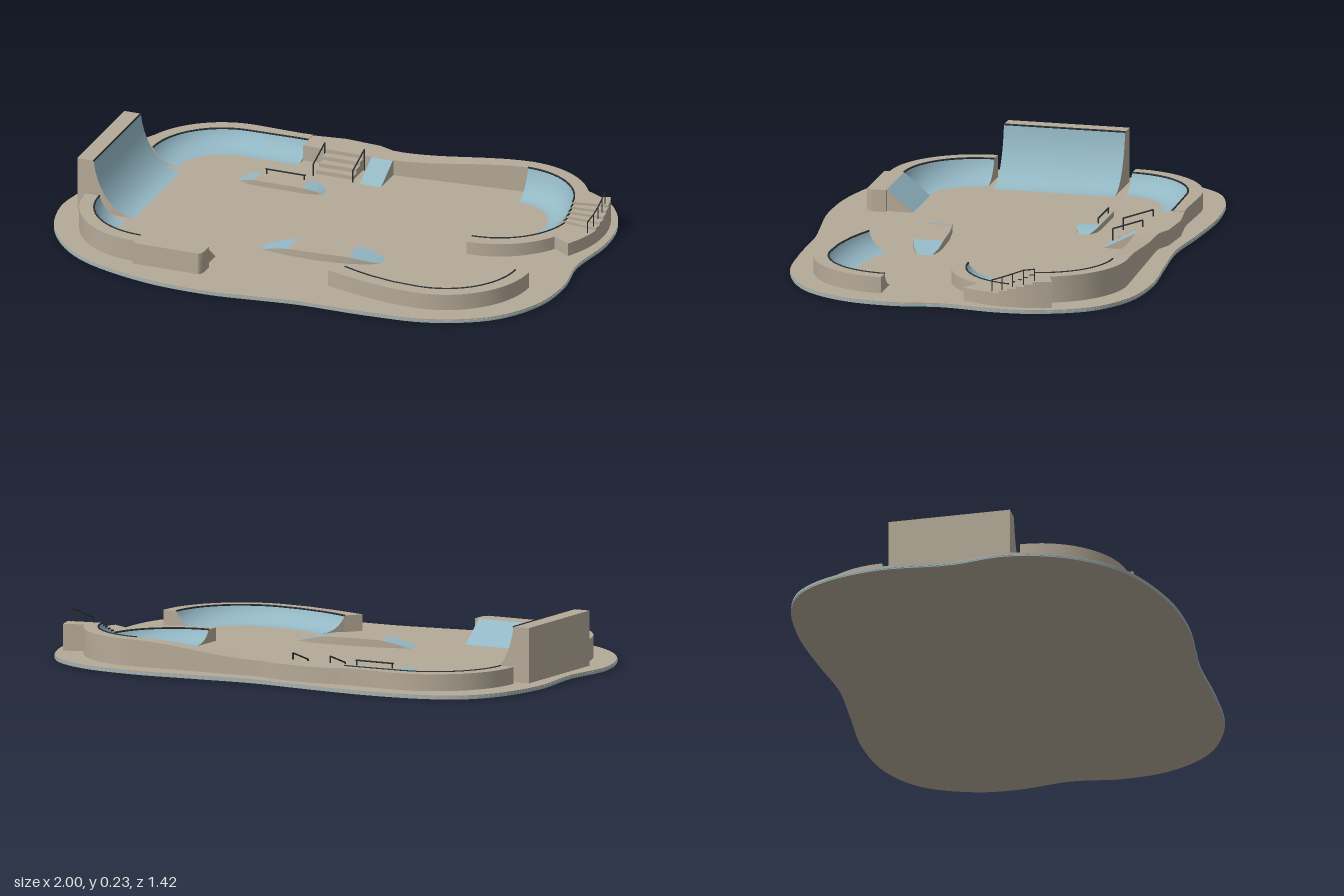
import * as THREE from 'three';

const concrete = new THREE.MeshStandardMaterial({ color: 0xb5aa98, side: THREE.DoubleSide });
concrete.name = 'concrete';
const rampBlue = new THREE.MeshStandardMaterial({ color: 0x93b7c4, side: THREE.DoubleSide });
rampBlue.name = 'rampBlue';
const steel = new THREE.MeshStandardMaterial({ color: 0x2b3033 });
steel.name = 'darkSteel';

const G = 0.015; // top of the slab
const rad = THREE.MathUtils.degToRad;

function add(parent, name, geo, mat) {
  const m = new THREE.Mesh(geo, mat);
  m.name = name;
  parent.add(m);
  return m;
}

// smooth surface through rows of [x, y, z] points
function surface(parent, name, rows, mat) {
  const n = rows[0].length, index = [];
  for (let i = 0; i < rows.length - 1; i++) {
    for (let j = 0; j < n - 1; j++) {
      const a = i * n + j, b = a + n;
      index.push(a, b, a + 1, b, b + 1, a + 1);
    }
  }
  const g = new THREE.BufferGeometry();
  g.setAttribute('position', new THREE.Float32BufferAttribute(rows.flat(2), 3));
  g.setIndex(index);
  g.computeVertexNormals();
  return add(parent, name, g, mat);
}

function bar(parent, name, a, b, r = 0.003) {
  const p = new THREE.Vector3(...a), q = new THREE.Vector3(...b);
  const m = add(parent, name, new THREE.CylinderGeometry(r, r, p.distanceTo(q), 8), steel);
  m.position.copy(p).add(q).multiplyScalar(0.5);
  m.quaternion.setFromUnitVectors(new THREE.Vector3(0, 1, 0), q.sub(p).normalize());
}

// curved (or flat) ramp profile from the foot up to the coping
function rampProfile([bx, bz, cx, cz, , , h], flat, max = 72) {
  const pts = [], n = flat ? 1 : 10;
  for (let i = 0; i <= n; i++) {
    const t = rad(max) * i / n;
    const u = flat ? i : Math.sin(t) / Math.sin(rad(max));
    const v = flat ? i : (1 - Math.cos(t)) / (1 - Math.cos(rad(max)));
    pts.push([bx + (cx - bx) * u, G + (h - G) * v, bz + (cz - bz) * u]);
  }
  return pts;
}

// ramp with deck; each station is [footX, footZ, copingX, copingZ, outerX, outerZ, height]
function ramp(parent, name, stations, { flat = false, max = 72, face = rampBlue, coping = true } = {}) {
  const g = new THREE.Group();
  g.name = name;
  parent.add(g);
  surface(g, 'rampFace', stations.map(s => rampProfile(s, flat, max)), face);
  surface(g, 'deck', stations.map(s => [[s[2], s[6], s[3]], [s[4], s[6], s[5]]]), concrete);
  surface(g, 'outerWall', stations.map(s => [[s[4], s[6], s[5]], [s[4], 0.01, s[5]]]), concrete);
  for (const s of [stations[0], stations[stations.length - 1]]) {
    const top = [...rampProfile(s, flat, max), [s[4], s[6], s[5]]];
    surface(g, 'endWall', [top, top.map(([x, , z]) => [x, 0.01, z])], concrete);
  }
  if (coping) {
    for (let i = 1; i < stations.length; i++) {
      const [p, q] = [stations[i - 1], stations[i]];
      bar(g, 'coping', [p[2], p[6], p[3]], [q[2], q[6], q[3]], 0.0035);
    }
  }
}

// ramp stations round an arc in plan, angles in degrees
function arc(cx, cz, a0, a1, h, outer = 0.33) {
  const n = Math.max(1, Math.round(Math.abs(a1 - a0) / 5));
  return Array.from({ length: n + 1 }, (_, i) => {
    const a = rad(a0 + (a1 - a0) * i / n), c = Math.cos(a), s = Math.sin(a);
    return [...[0.178, 0.275, outer].flatMap(r => [cx + r * c, cz + r * s]), h];
  });
}

// low box with sloping blue ends; stations are [x, zBack, zFront, y]
function funBox(parent, name, stations, firstTop, lastTop) {
  const g = new THREE.Group();
  g.name = name;
  parent.add(g);
  const tops = stations.map(([x, a, b, y]) => [[x, y, a], [x, y, b]]);
  surface(g, 'leftBank', tops.slice(0, firstTop + 1), rampBlue);
  surface(g, 'top', tops.slice(firstTop, lastTop + 1), concrete);
  surface(g, 'rightBank', tops.slice(lastTop), rampBlue);
  for (const k of [1, 2]) {
    surface(g, 'side', stations.map(s => [[s[0], s[3], s[k]], [s[0], 0.01, s[k]]]), concrete);
  }
}

export function createModel() {
  const park = new THREE.Group();
  park.name = 'skatePark';

  // rounded, wavy ground slab with a blue edge band
  const outline = [
    [-0.99, -0.29], [-0.94, -0.5], [-0.85, -0.625], [-0.72, -0.685], [-0.5, -0.713], [-0.235, -0.7], [0, -0.678],
    [0.25, -0.695], [0.5, -0.713], [0.73, -0.68], [0.89, -0.58], [0.98, -0.4], [0.997, -0.24],
    [0.972, -0.03], [0.997, 0.16], [0.97, 0.35], [0.86, 0.52], [0.65, 0.63], [0.41, 0.658],
    [0.14, 0.663], [0, 0.68], [-0.21, 0.704], [-0.48, 0.685], [-0.77, 0.58], [-0.93, 0.41],
    [-0.997, 0.2], [-0.972, -0.02]];
  const curve = new THREE.CatmullRomCurve3(outline.map(([x, z]) => new THREE.Vector3(x, -z, 0)), true);
  const shape = new THREE.Shape(curve.getPoints(160).slice(0, -1).map(p => new THREE.Vector2(p.x, p.y)));
  const plate = depth => new THREE.ExtrudeGeometry(shape, { depth, bevelEnabled: false }).rotateX(-Math.PI / 2);
  add(park, 'groundSlab', plate(G), concrete);
  const band = add(park, 'edgeBand', plate(0.006), rampBlue);
  band.position.y = 0.004;
  band.scale.set(1.002, 1, 1.002);

  // tall quarter pipe
  ramp(park, 'tallQuarterPipe', [-0.265, 0.197].map(z => [-0.705, z, -0.865, z, -0.93, z, 0.222]), { max: 80 });

  // back corner quarter pipe
  ramp(park, 'backCornerRamp', [...arc(-0.555, -0.3, 180, 270, 0.078),
    [-0.37, -0.483, -0.37, -0.58, -0.37, -0.625, 0.078],
    [-0.325, -0.483, -0.325, -0.58, -0.325, -0.628, 0.078]]);

  // raised walkway rising along the back
  const walk = [[-0.325, -0.53, -0.628], [-0.2, -0.53, -0.645], [-0.06, -0.53, -0.635], [0, -0.53, -0.612], [0.04, -0.53, -0.61]]
    .map(([x, zi, zo]) => [x, zi, x, zi, x, zo, 0.075]);
  for (let i = 1; i <= 12; i++) {
    const t = i / 12, x = 0.04 + 0.515 * t, zi = -0.53 - 0.045 * t;
    walk.push([x, zi, x, zi, x, -0.61 - 0.02 * t, 0.075 + 0.04 * THREE.MathUtils.smoothstep(t, 0, 1)]);
  }
  ramp(park, 'backWalkway', walk, { flat: true, face: concrete, coping: false });

  // horseshoe bowl with two deck levels joined by steps
  const sectors = [[-90, -20, 0.115, 0.33], [-20, -10, 0.115, 0.41], [8, 30, 0.065, 0.41], [30, 90, 0.065, 0.33]];
  for (let i = 0; i < 4; i++) sectors.push([-10 + 4.5 * i, -5.5 + 4.5 * i, 0.105 - 0.01 * i, 0.41]);
  for (const [a0, a1, h, r] of sectors) ramp(park, 'horseshoeBowl', arc(0.555, -0.3, a0, a1, h, r));

  // handrail beside the bowl steps
  const railPts = [[-11, 0.115, 0.16], [-5, 0.1, 0.155], [1, 0.09, 0.139], [7, 0.07, 0.123], [13, 0.065, 0.108]]
    .map(([a, y0, y1]) => [0.555 + 0.395 * Math.cos(rad(a)), y0, -0.3 + 0.395 * Math.sin(rad(a)), y1]);
  railPts.forEach(([x, y0, z, y1], i) => {
    bar(park, 'bowlRailPost', [x, y0, z], [x, y1, z], 0.002);
    if (i) bar(park, 'bowlHandrail', [railPts[i - 1][0], railPts[i - 1][3], railPts[i - 1][2]], [x, y1, z], 0.0025);
  });

  // front corner ramps: curved corner with flat bank, and long sweeping curve
  ramp(park, 'frontCornerRamp', arc(-0.555, 0.225, 180, 90, 0.098));
  ramp(park, 'frontBank', [-0.555, -0.295].map(x => [x, 0.4, x, 0.5, x, 0.575, 0.098]), { flat: true, coping: false });
  ramp(park, 'frontBankEnd', [[-0.295, 0.575], [-0.285, 0.568], [-0.28, 0.55]]
    .map(([x, z]) => [x, 0.5, x, 0.5, x, z, 0.098]), { flat: true, face: concrete, coping: false });
  ramp(park, 'frontSweepRamp', [...arc(0.555, 0.225, 0, 90, 0.077),
    [0.48, 0.4, 0.45, 0.495, 0.45, 0.551, 0.077],
    [0.41, 0.388, 0.35, 0.475, 0.34, 0.53, 0.077],
    [0.345, 0.37, 0.29, 0.456, 0.26, 0.511, 0.077],
    [0.29, 0.35, 0.235, 0.435, 0.19, 0.49, 0.077]]);

  // stairs down from the walkway, with handrails
  for (let i = 0; i < 3; i++) {
    const h = 0.06 - 0.015 * i;
    const step = add(park, 'stairStep', new THREE.BoxGeometry(0.15, h - 0.01, 0.032), concrete);
    step.position.set(-0.16, (h + 0.01) / 2, -0.514 + 0.032 * i);
  }
  for (const x of [-0.238, -0.08]) {
    bar(park, 'stairRail', [x, 0.1, -0.53], [x, 0.06, -0.415]);
    bar(park, 'stairRailPost', [x, G, -0.53], [x, 0.1, -0.53]);
    bar(park, 'stairRailPost', [x, G, -0.415], [x, 0.06, -0.415]);
  }

  // small bank beside the stairs
  ramp(park, 'smallBank', [-0.05, 0.035].map(x => [x, -0.41, x, -0.525, x, -0.531, 0.075]), { flat: true, coping: false });

  // two free-standing boxes and the grind rail
  funBox(park, 'grindBox', [[-0.475, -0.31, -0.27, G], [-0.44, -0.33, -0.255, 0.03], [-0.41, -0.335, -0.25, 0.036],
    [-0.215, -0.335, -0.25, 0.036], [-0.175, -0.33, -0.255, 0.03], [-0.14, -0.31, -0.27, G]], 2, 3);
  bar(park, 'grindRail', [-0.39, 0.055, -0.322], [-0.23, 0.055, -0.322]);
  for (const x of [-0.385, -0.235]) bar(park, 'grindRailPost', [x, 0.03, -0.322], [x, 0.055, -0.322]);
  funBox(park, 'curvedBox', [[-0.165, 0.215, 0.278, G], [-0.11, 0.203, 0.285, 0.03], [-0.05, 0.188, 0.292, 0.042],
    [0.06, 0.171, 0.295, 0.045], [0.18, 0.165, 0.28, 0.042], [0.24, 0.166, 0.262, 0.03], [0.297, 0.178, 0.235, G]], 2, 4);

  return park;
}
